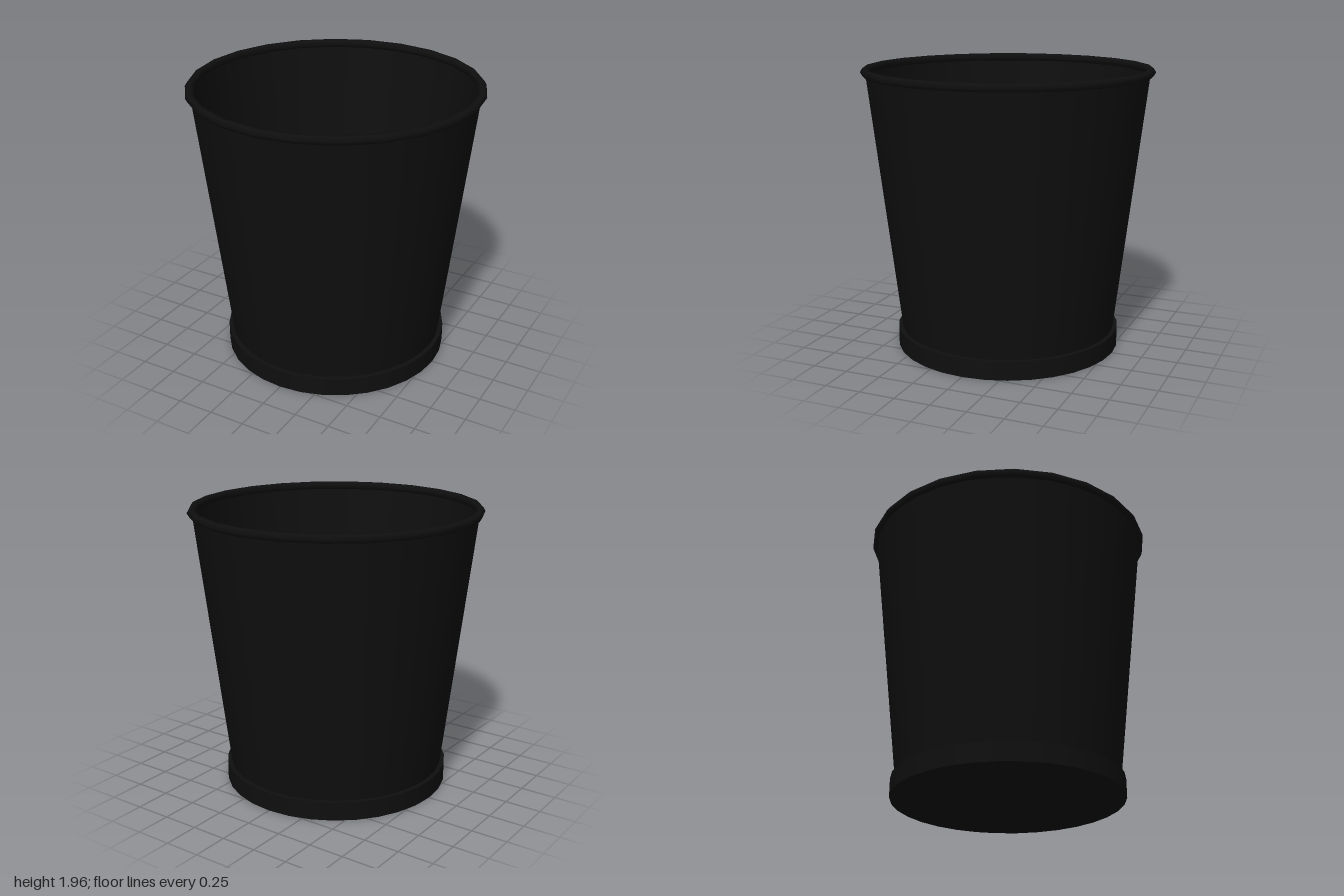
import * as THREE from 'three';

export function createModel() {
  const group = new THREE.Group();
  const blackPlastic = new THREE.MeshStandardMaterial({ color: 0x0f0f0f, side: THREE.DoubleSide });
  blackPlastic.name = 'black plastic';

  const add = (name, geometry, y) => {
    const mesh = new THREE.Mesh(geometry, blackPlastic);
    mesh.name = name;
    mesh.position.y = y;
    group.add(mesh);
  };

  // Solid foot; its top face is the floor inside the bin
  const baseHeight = 0.13;
  add('base', new THREE.CylinderGeometry(0.786, 0.786, baseHeight, 32), baseHeight / 2);

  // Open tapered wall, from the floor up to the middle of the rim
  const rimY = 1.934;
  add('wall', new THREE.CylinderGeometry(0.967, 0.755, rimY - baseHeight, 32, 1, true), (rimY + baseHeight) / 2);

  // Rolled rim with a six-sided section
  add('rim', new THREE.TorusGeometry(0.97, 0.03, 6, 24).rotateX(Math.PI / 2), rimY);

  return group;
}
